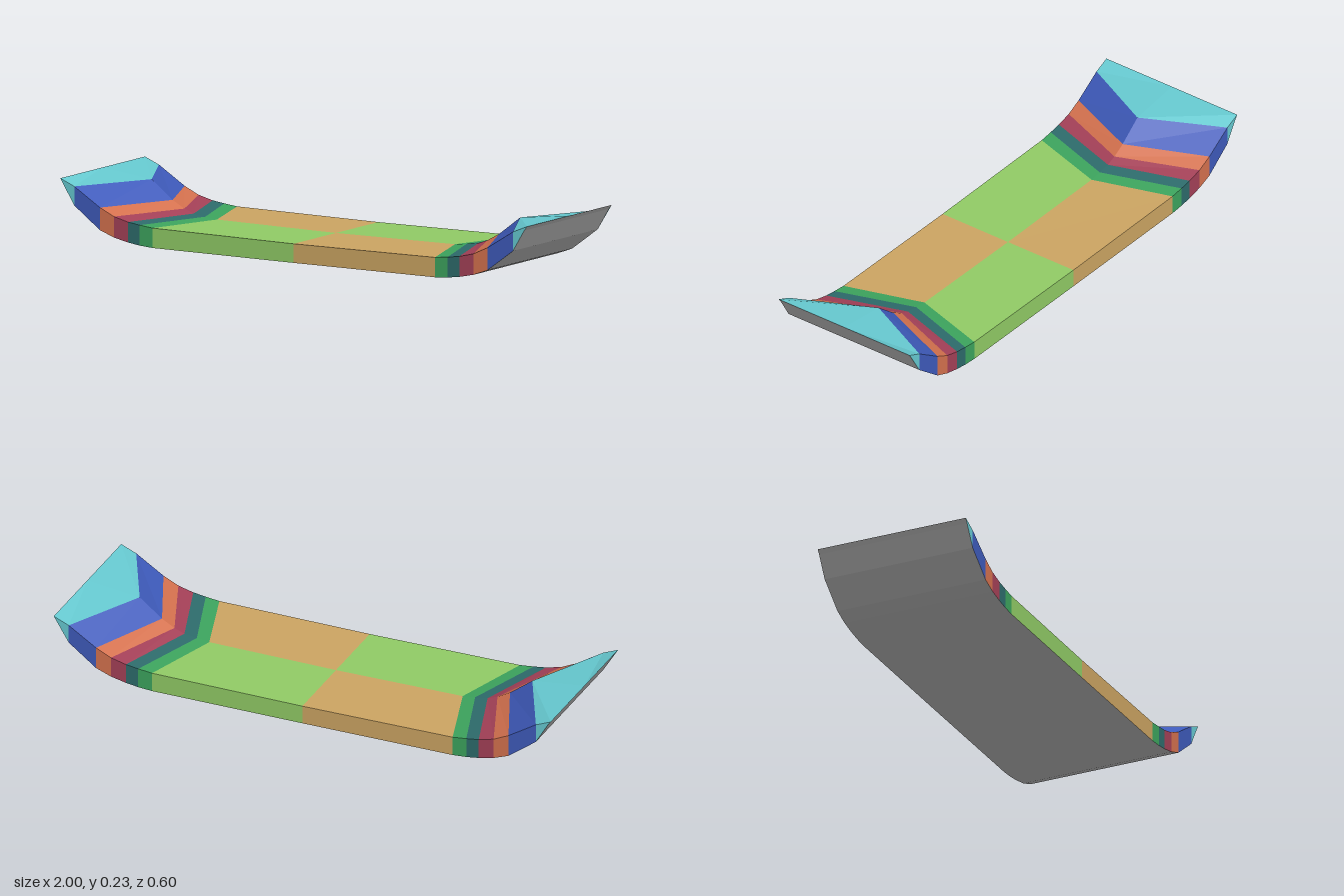
import * as THREE from 'three';

const HALF_WIDTH = 0.3;
const TILT = 0.014; // slight roll: the front edge sits a little higher

const material = (name, color) => {
  const m = new THREE.MeshStandardMaterial({ color });
  m.name = name;
  return m;
};

// Flat-shaded mesh from a list of quads (each four [x, y, z] corners)
function quadMesh(name, quads, mat) {
  const pos = [];
  for (const [a, b, c, d] of quads) {
    for (const p of [a, b, c, a, c, d]) pos.push(p[0], p[1] + p[2] * TILT, p[2]);
  }
  const geo = new THREE.BufferGeometry();
  geo.setAttribute('position', new THREE.Float32BufferAttribute(pos, 3));
  geo.computeVertexNormals();
  const mesh = new THREE.Mesh(geo, mat);
  mesh.name = name;
  return mesh;
}

export function createModel() {
  const group = new THREE.Group();
  group.name = 'curvedDeck';

  const tan = material('tan', 0xcba462);
  const lime = material('light green', 0x90ca65);
  const grey = material('underside grey', 0xb4b4b4);
  const bands = [
    ['greenBand', material('green', 0x3ca35d)],
    ['tealBand', material('teal', 0x2d6b6b)],
    ['redBand', material('dark red', 0xa34057)],
    ['orangeBand', material('orange', 0xd4714e)],
    ['blueBand', material('blue', 0x3e5aba)],
    ['cyanTip', material('cyan', 0x66c9d0)],
  ];

  // Stations from the middle out: x at the edges, x on the centre line, top y, bottom y
  const stations = [
    [0, 0, 0.076, 0.005],
    [0.605, 0.51, 0.08, 0.006],
    [0.66, 0.56, 0.086, 0.01],
    [0.71, 0.61, 0.093, 0.017],
    [0.77, 0.65, 0.108, 0.03],
    [0.83, 0.70, 0.136, 0.052],
    [0.94, 0.79, 0.205, 0.134],
    [1.0, 1.0, 0.23, 0.23],
  ];
  // Underside profile, with an extra kink just below the tip
  const under = stations.map((s) => [s[0], s[3]]);
  under.splice(7, 0, [0.988, 0.214]);

  // Quad facing outwards after mirroring
  const orient = (quad, flip) => (flip ? quad.slice().reverse() : quad);

  // Top and side faces of one segment in one quarter
  function segment(i, sx, sz) {
    const [e0, c0, t0, b0] = stations[i];
    const [e1, c1, t1, b1] = stations[i + 1];
    const z = HALF_WIDTH * sz;
    const flip = sx * sz < 0;
    const quads = [
      // top face, chevron-shaped about the centre line
      [[sx * c0, t0, 0], [sx * e0, t0, z], [sx * e1, t1, z], [sx * c1, t1, 0]],
    ];
    if (i < 6) {
      quads.push([[sx * e0, t0, z], [sx * e0, b0, z], [sx * e1, b1, z], [sx * e1, t1, z]]);
    } else {
      // pointed side of the tip
      const [kx, ky] = under[7];
      quads.push([[sx * e0, t0, z], [sx * e0, b0, z], [sx * kx, ky, z], [sx * e1, t1, z]]);
    }
    return quads.map((q) => orient(q, flip));
  }

  // Flat middle: four quarters in alternating colours
  for (const sx of [1, -1]) {
    for (const sz of [1, -1]) {
      const name = (sz > 0 ? 'front' : 'back') + (sx > 0 ? 'Left' : 'Right') + 'Panel';
      group.add(quadMesh(name, segment(0, sx, sz), sx * sz > 0 ? tan : lime));
    }
  }

  // Coloured chevron bands rising to each end
  for (const sx of [1, -1]) {
    bands.forEach(([name, mat], i) => {
      const quads = [...segment(i + 1, sx, 1), ...segment(i + 1, sx, -1)];
      group.add(quadMesh((sx > 0 ? 'left_' : 'right_') + name, quads, mat));
    });
  }

  // Underside
  const bottom = [];
  for (const sx of [1, -1]) {
    for (let i = 0; i < under.length - 1; i++) {
      const [x0, y0] = under[i];
      const [x1, y1] = under[i + 1];
      const w = HALF_WIDTH;
      bottom.push(orient(
        [[sx * x0, y0, w], [sx * x0, y0, -w], [sx * x1, y1, -w], [sx * x1, y1, w]], sx < 0));
    }
  }
  group.add(quadMesh('underside', bottom, grey));

  return group;
}
